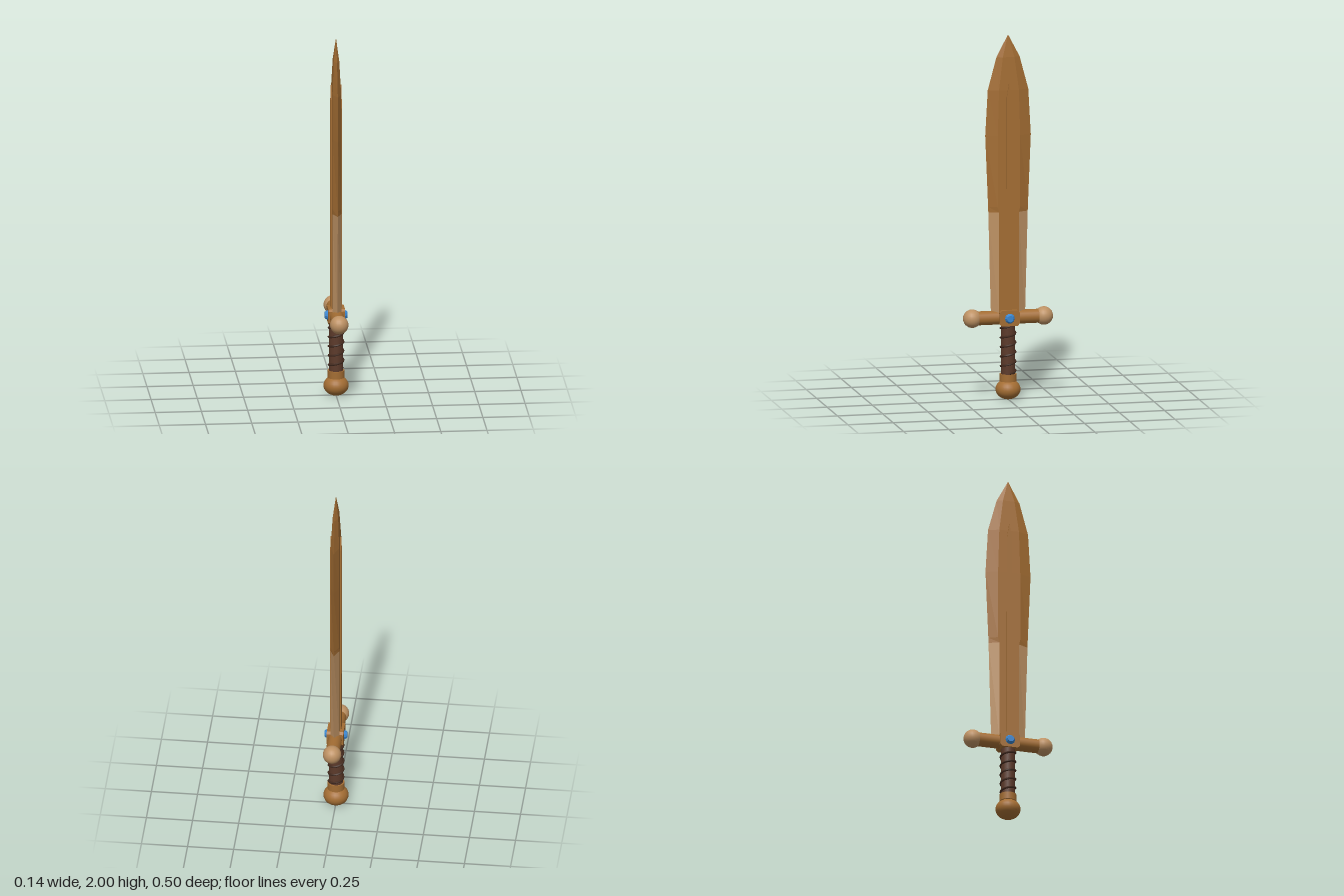
import * as THREE from 'three';

const mat = (name, color, flatShading = false) => {
  const m = new THREE.MeshStandardMaterial({ color, flatShading });
  m.name = name;
  return m;
};

export function createModel() {
  const wood = mat('wood', 0xa36d33);
  const paleWood = mat('pale wood', 0xbd9163);
  const leather = mat('leather', 0x5c3a2a);
  const cord = mat('dark cord', 0x432a1e);
  const blue = mat('blue gem', 0x3a86d0);

  const sword = new THREE.Group();
  sword.name = 'sword';
  const add = (name, geometry, material, x = 0, y = 0, z = 0) => {
    const mesh = new THREE.Mesh(geometry, material);
    mesh.name = name;
    mesh.position.set(x, y, z);
    sword.add(mesh);
    return mesh;
  };

  // Blade: hexagonal sections [height, half width, half flat, half thickness]
  const rows = [
    [0.45, 0.094, 0.054, 0.024], [1.03, 0.109, 0.055, 0.024], [1.06, 0.11, 0.062, 0.024],
    [1.45, 0.126, 0.062, 0.024], [1.7, 0.112, 0.055, 0.023], [1.88, 0.064, 0.032, 0.015],
    [2.0, 0.001, 0.0005, 0.0005],
  ];
  const section = ([y, w, f, t]) =>
    [[t, y, -f], [t, y, f], [0, y, w], [-t, y, f], [-t, y, -f], [0, y, -w]];
  const main = [], worn = [];
  for (let r = 0; r < rows.length - 1; r++) {
    const lo = section(rows[r]), hi = section(rows[r + 1]);
    for (let i = 0; i < 6; i++) {
      const j = (i + 1) % 6;
      // The lower bevels are pale, the flats stay wood coloured
      const target = r < 1 && i % 3 !== 0 ? worn : main;
      target.push(...lo[i], ...hi[i], ...hi[j], ...lo[i], ...hi[j], ...lo[j]);
    }
  }
  const fromTriangles = (points) => {
    const g = new THREE.BufferGeometry();
    g.setAttribute('position', new THREE.Float32BufferAttribute(points, 3));
    g.computeVertexNormals();
    return g;
  };
  add('blade', fromTriangles(main), wood);
  add('paleBladeEdges', fromTriangles(worn), paleWood);

  // Raised rib with a pointed end on each flat of the blade
  const rib = new THREE.Shape();
  rib.moveTo(-0.015, 0.46);
  rib.lineTo(0.015, 0.46);
  rib.lineTo(0.013, 1.66);
  rib.lineTo(0, 1.74);
  rib.lineTo(-0.013, 1.66);
  rib.closePath();
  for (const side of [1, -1]) {
    const g = new THREE.ExtrudeGeometry(rib, { depth: 0.01, bevelEnabled: false });
    add('bladeRib', g, wood, side * 0.02).rotation.y = side * Math.PI / 2;
  }

  // Crossguard bar with a ball at each end
  add('guardBar', new THREE.CylinderGeometry(0.038, 0.038, 0.36, 20), wood, 0, 0.45).rotation.x = Math.PI / 2;
  for (const side of [1, -1]) {
    add('guardBall', new THREE.SphereGeometry(0.05, 20, 14), paleWood, 0, 0.45, side * 0.198);
  }

  // Centre block with chamfered corners
  const c = 0.012, w = 0.055, h = 0.043;
  const block = new THREE.Shape([
    [-w + c, -h], [w - c, -h], [w, -h + c], [w, h - c],
    [w - c, h], [-w + c, h], [-w, h - c], [-w, -h + c],
  ].map(([x, y]) => new THREE.Vector2(x, y)));
  const blockGeometry = new THREE.ExtrudeGeometry(block, { depth: 0.09, bevelEnabled: false });
  blockGeometry.translate(0, 0, -0.045);
  add('guardBlock', blockGeometry, wood, 0, 0.451).rotation.y = Math.PI / 2;

  // Faceted gem on each side of the block
  const gemFacets = blue.clone();
  gemFacets.flatShading = true;
  for (const side of [1, -1]) {
    const g = new THREE.CylinderGeometry(0.018, 0.028, 0.017, 10);
    add('gem', g, gemFacets, side * 0.0525, 0.45).rotation.z = -side * Math.PI / 2;
  }

  // Grip with a spiral cord
  add('grip', new THREE.CylinderGeometry(0.038, 0.038, 0.3, 20), leather, 0, 0.265);
  const helix = [];
  for (let i = 0; i <= 80; i++) {
    const t = i / 80, a = t * Math.PI * 10;
    helix.push(new THREE.Vector3(Math.cos(a) * 0.039, 0.145 + t * 0.26, -Math.sin(a) * 0.039));
  }
  add('gripCord', new THREE.TubeGeometry(new THREE.CatmullRomCurve3(helix), 160, 0.0065, 6), cord);

  // Collar and rounded pommel
  add('pommelCollar', new THREE.CylinderGeometry(0.046, 0.046, 0.04, 20), wood, 0, 0.12);
  add('pommel', new THREE.SphereGeometry(0.068, 24, 16), wood, 0, 0.055).scale.y = 0.81;

  return sword;
}
